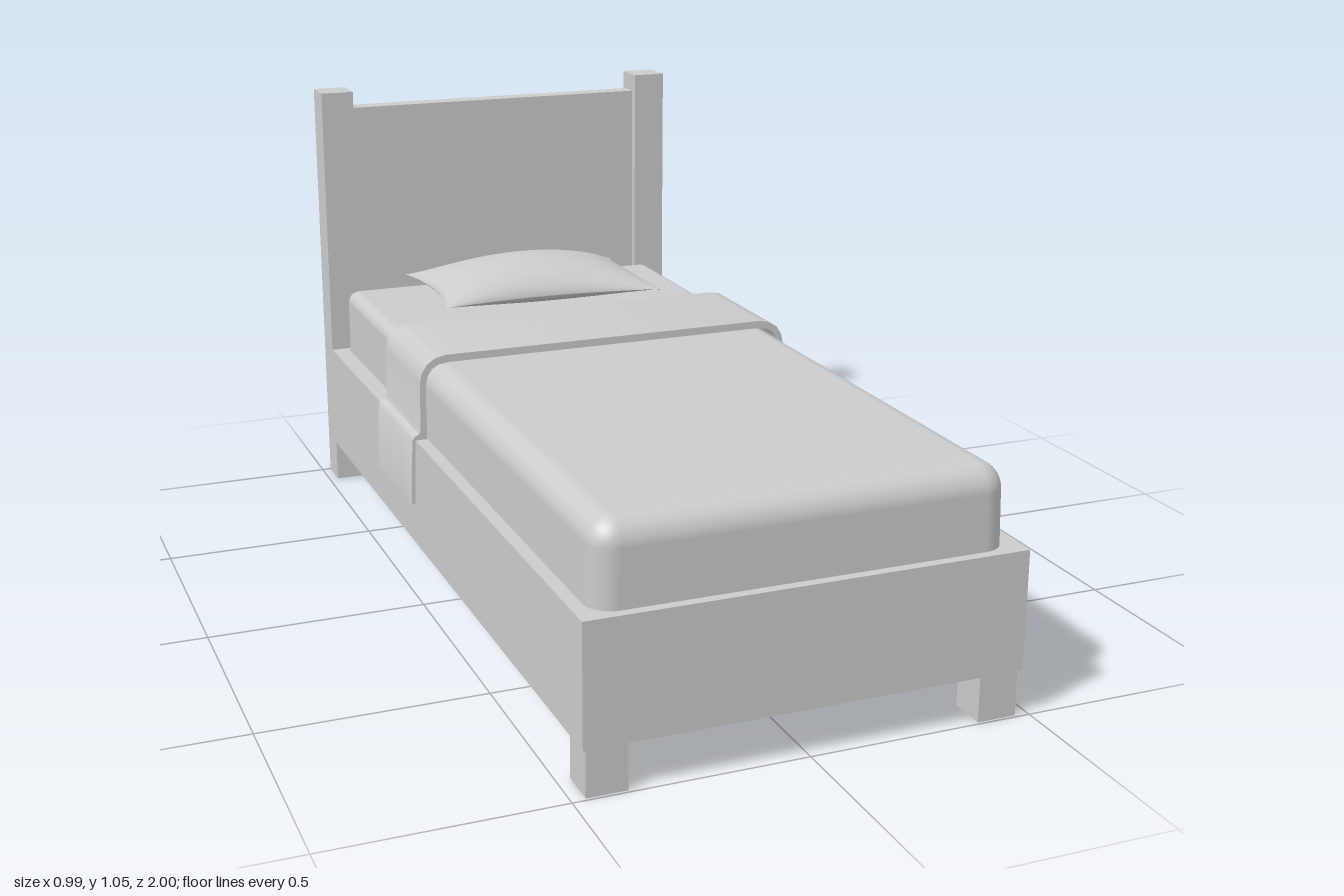
import * as THREE from 'three';
import { toCreasedNormals } from 'three/addons/utils/BufferGeometryUtils.js';
import { RoundedBoxGeometry } from 'three/addons/geometries/RoundedBoxGeometry.js';

const material = new THREE.MeshStandardMaterial({ color: 0xcccccc });

export function createModel() {
  const bed = new THREE.Group();
  bed.name = 'bed';

  const add = (name, geometry) => {
    const mesh = new THREE.Mesh(geometry, material);
    mesh.name = name;
    bed.add(mesh);
    return mesh;
  };
  // Box given by its extents on each axis
  const box = (name, [x0, x1], [y0, y1], [z0, z1]) =>
    add(name, new THREE.BoxGeometry(x1 - x0, y1 - y0, z1 - z0))
      .position.set((x0 + x1) / 2, (y0 + y1) / 2, (z0 + z1) / 2);

  // Wooden frame
  box('bedFrame', [-0.478, 0.478], [0.103, 0.366], [-0.915, 1]);
  box('headboard', [-0.4, 0.4], [0.103, 1.01], [-0.985, -0.935]);
  for (const [side, s] of [['left', 1], ['right', -1]]) {
    const span = (a, b) => (s > 0 ? [a, b] : [-b, -a]);
    box(side + 'HeadPost', span(0.395, 0.478), [0, 1.055], [-1, -0.915]);
    box(side + 'FrontFoot', span(0.383, 0.47), [0, 0.11], [0.908, 0.993]);
  }

  // Soft blocks, sunk into the frame and slightly wider at the bottom
  const softBlock = (name, [x0, x1], top, [z0, z1], radius, flare) => {
    const h = 0.34;
    const g = new RoundedBoxGeometry(x1 - x0, h, z1 - z0, 6, radius);
    const p = g.attributes.position;
    for (let i = 0; i < p.count; i++) {
      const k = 1 - flare * (0.5 + p.getY(i) / h);
      p.setX(i, p.getX(i) * k);
      p.setZ(i, p.getZ(i) * (1 - (1 - k) * 0.3));
    }
    add(name, g).position.set((x0 + x1) / 2, top - h / 2, (z0 + z1) / 2);
  };
  softBlock('mattress', [-0.436, 0.432], 0.528, [-0.916, 0.9], 0.03, 0.005);
  softBlock('duvet', [-0.453, 0.449], 0.543, [-0.3, 0.98], 0.055, 0.02);

  // Folded blanket draped across the bed and over both rails
  const half = [
    [0.4, 0.565], [0.425, 0.56], [0.446, 0.546], [0.459, 0.525], [0.464, 0.5],
    [0.465, 0.39], [0.469, 0.38], [0.48, 0.375], [0.486, 0.366], [0.491, 0.21],
    [0.482, 0.21], [0.479, 0.36], [0.45, 0.36],
    [0.45, 0.495], [0.445, 0.518], [0.434, 0.534], [0.417, 0.544], [0.395, 0.547],
  ];
  const mirrored = half.map(([x, y]) => [-x, y]).reverse();
  const outline = [...half, ...mirrored].map(([x, y]) => new THREE.Vector2(x, y));
  const drape = new THREE.ExtrudeGeometry(new THREE.Shape(outline),
    { depth: 0.3, steps: 30, bevelEnabled: false });
  const dp = drape.attributes.position;
  for (let i = 0; i < dp.count; i++) {
    // Gentle folds in the hanging flaps
    const x = dp.getX(i);
    if (dp.getY(i) < 0.3) {
      dp.setX(i, x + Math.sign(x) * 0.002 * (1 + Math.sin(dp.getZ(i) * 55)));
    }
  }
  add('blanket', toCreasedNormals(drape, 0.6)).position.z = -0.405;

  // Pillow: two puffed sheets meeting in a seam with drawn-out corners
  const puff = (name, height) => {
    const g = new THREE.PlaneGeometry(2, 2, 32, 24).rotateX(-Math.PI / 2);
    const p = g.attributes.position;
    for (let i = 0; i < p.count; i++) {
      const u = Math.sin(p.getX(i) * Math.PI / 2);
      const v = Math.sin(p.getZ(i) * Math.PI / 2);
      const bulge = Math.max(0, (1 - u * u) * (1 - v * v)) ** 0.6;
      p.setXYZ(i,
        u * (0.264 + 0.025 * v * v),
        height * bulge,
        v * (0.156 + 0.034 * u * u) + 0.01 * u);
    }
    if (height < 0) {
      // Turn the lower sheet to face down
      const idx = g.index.array;
      for (let i = 0; i < idx.length; i += 3) [idx[i], idx[i + 1]] = [idx[i + 1], idx[i]];
    }
    g.computeVertexNormals();
    add(name, g).position.set(0.013, 0.562, -0.69);
  };
  puff('pillowTop', 0.078);
  puff('pillowUnderside', -0.038);

  return bed;
}
